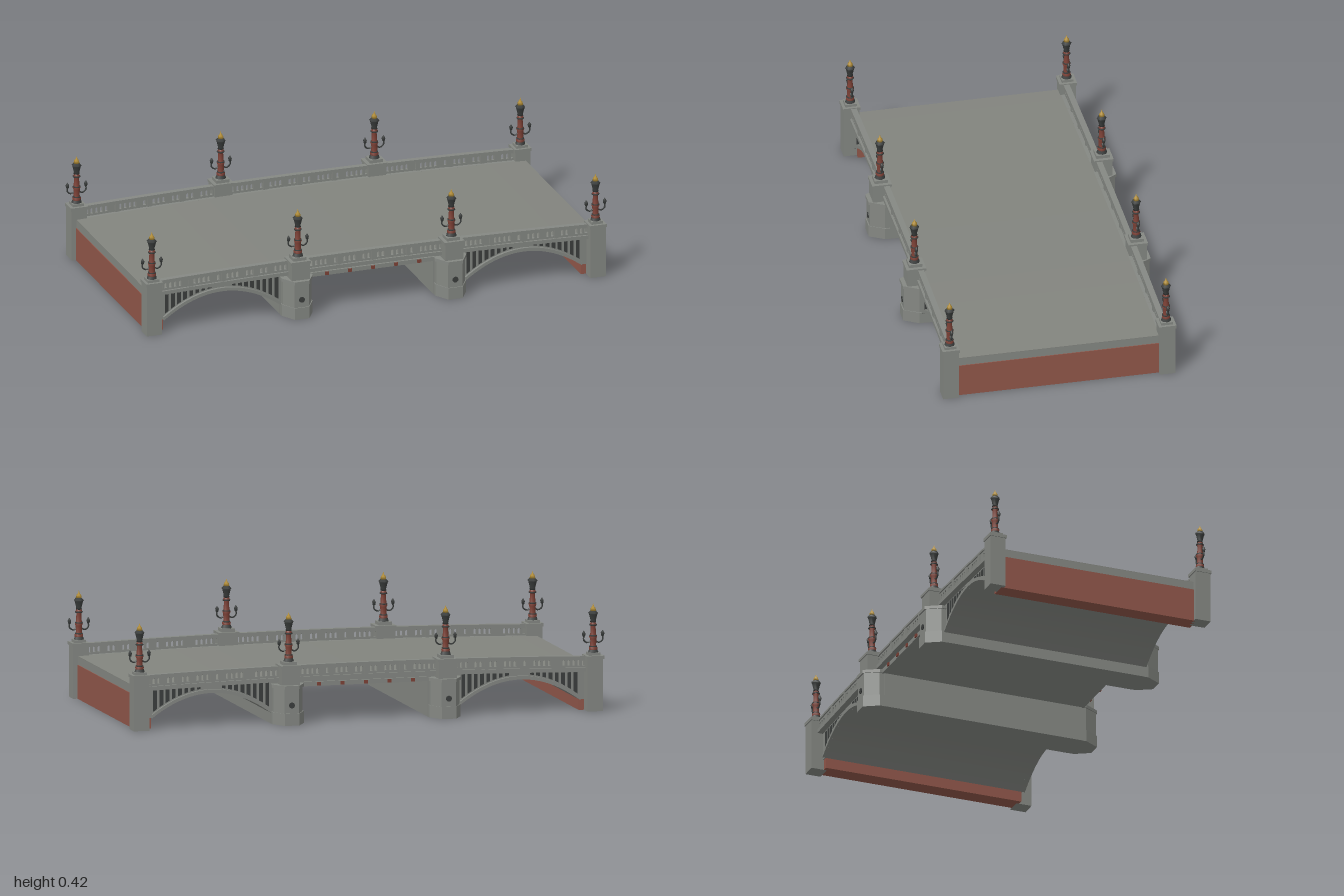
import * as THREE from 'three';

const mat = (name, color, side = THREE.FrontSide) => {
  const m = new THREE.MeshStandardMaterial({ color, side });
  m.name = name;
  return m;
};

export function createModel() {
  const stone = mat('grey stone', 0x858883);
  const road = mat('road grey', 0x82847e);
  const brick = mat('red brick', 0x91574a);
  const redPaint = mat('dark red paint', 0x7d4136);
  const iron = mat('dark iron', 0x3b3e3d);
  const gold = mat('gold', 0xb48f35);

  const bridge = new THREE.Group();
  bridge.name = 'bridge';

  const add = (parent, name, geo, material, x = 0, y = 0, z = 0) => {
    const m = new THREE.Mesh(geo, material);
    m.name = name;
    m.position.set(x, y, z);
    parent.add(m);
    return m;
  };
  const box = (parent, name, material, w, h, d, x, y, z) =>
    add(parent, name, new THREE.BoxGeometry(w, h, d), material, x, y, z);
  const shapeOf = pts => new THREE.Shape(pts.map(p => new THREE.Vector2(p[0], p[1])));
  // Side profile extruded across the bridge, centred on z
  const extrude = (shape, depth) =>
    new THREE.ExtrudeGeometry(shape, { depth, bevelEnabled: false }).translate(0, 0, -depth / 2);
  const range = (n, a, b) => Array.from({ length: n + 1 }, (_, i) => a + (b - a) * i / n);

  // Main curves: cambered deck and segmental side arches
  const END = 0.878, deckY = u => 0.158 + 0.016 * (1 - (u / END) ** 2);
  const ARCH = 0.589, HALF = 0.228, SPRING = 0.04;
  const archY = u => SPRING + 0.085 * (1 - ((Math.abs(u) - ARCH) / HALF) ** 2);
  const band = (a, b, lo, hi, n = 24) => shapeOf([
    ...range(n, a, b).map(u => [u, lo(u)]),
    ...range(n, b, a).map(u => [u, hi(u)])]);

  // Deck body with both barrel vaults and the flat middle span
  const arch = s => range(20, s * ARCH - HALF, s * ARCH + HALF).map(u => [u, archY(u)]);
  const body = shapeOf([
    [-END, SPRING], ...arch(-1), [-0.24, SPRING], [-0.24, 0.134], [0.24, 0.134], [0.24, SPRING],
    ...arch(1), [END, SPRING], ...range(24, END, -END).map(u => [u, deckY(u) - 0.002])]);
  add(bridge, 'deckBody', extrude(body, 0.784), stone);
  add(bridge, 'roadway', extrude(band(-END, END, u => deckY(u) - 0.002, deckY), 0.784), road);

  // Brick abutments
  for (const s of [-1, 1]) {
    box(bridge, 'abutmentFoot', brick, 0.062, SPRING, 0.776, s * 0.848, SPRING / 2, 0);
    box(bridge, 'abutmentWall', brick, 0.006, 0.126, 0.776, s * 0.878, 0.063, 0);
  }

  // Lamp with a turned column, two side arms and a lantern
  const lathe = (pts, seg = 10) => new THREE.LatheGeometry(pts.map(p => new THREE.Vector2(p[0], p[1])), seg);
  const lampParts = {
    foot: new THREE.CylinderGeometry(0.016, 0.021, 0.014, 8),
    column: lathe([[0.015, 0.012], [0.016, 0.022], [0.011, 0.028], [0.012, 0.055], [0.015, 0.062],
      [0.011, 0.07], [0.009, 0.1], [0.013, 0.108], [0.009, 0.115]]),
    ring: new THREE.TorusGeometry(0.012, 0.003, 5, 12).rotateX(Math.PI / 2),
    arm: new THREE.TubeGeometry(new THREE.CatmullRomCurve3([
      new THREE.Vector3(0.006, 0.048, 0), new THREE.Vector3(0.022, 0.04, 0),
      new THREE.Vector3(0.036, 0.05, 0), new THREE.Vector3(0.036, 0.064, 0)]), 10, 0.003, 5),
    sideLamp: lathe([[0, 0.06], [0.005, 0.064], [0.007, 0.074], [0.004, 0.08], [0, 0.086]], 6),
    lantern: lathe([[0, 0.112], [0.012, 0.116], [0.01, 0.122], [0.016, 0.146], [0.019, 0.15],
      [0.012, 0.158], [0, 0.16]], 6),
    finial: lathe([[0, 0.157], [0.011, 0.158], [0.009, 0.168], [0.003, 0.176], [0, 0.186]], 6)
  };
  const lamp = (x, y, z) => {
    const g = new THREE.Group();
    g.name = 'streetLamp';
    g.position.set(x, y, z);
    add(g, 'lampFoot', lampParts.foot, iron, 0, 0.007, 0);
    add(g, 'lampColumn', lampParts.column, redPaint);
    for (const h of [0.026, 0.066, 0.106]) add(g, 'lampRing', lampParts.ring, iron, 0, h, 0);
    for (const s of [0, Math.PI]) {
      add(g, 'lampArm', lampParts.arm, iron).rotation.y = s;
      add(g, 'sideLamp', lampParts.sideLamp, iron, Math.cos(s) * 0.036, 0, 0);
    }
    add(g, 'lantern', lampParts.lantern, iron);
    add(g, 'lampFinial', lampParts.finial, gold);
    bridge.add(g);
  };

  // Pierced parapet following the camber
  const parapet = (a, b) => {
    const base = u => deckY(u) - 0.004, top = u => deckY(u) + 0.038;
    const shape = band(a, b, base, top, 12);
    const bays = Math.round((b - a) / 0.0185), step = (b - a) / bays;
    for (let i = 0; i < bays; i++) {
      if (i % 6 === 5) continue;
      const l = a + step * (i + 0.22), r = a + step * (i + 0.78), m = (l + r) / 2;
      shape.holes.push(new THREE.Path([
        [l, base(l) + 0.012], [l, top(l) - 0.013], [m, top(m) - 0.009], [r, top(r) - 0.013], [r, base(r) + 0.012]
      ].map(p => new THREE.Vector2(p[0], p[1]))));
    }
    return extrude(shape, 0.012);
  };
  const spans = [[-0.84, -0.335], [-0.27, 0.27], [0.335, 0.84]];

  for (const z of [-1, 1]) {
    for (const [a, b] of spans) {
      add(bridge, 'parapet', parapet(a, b), stone, 0, 0, z * 0.4);
      add(bridge, 'handrail', extrude(band(a, b, u => deckY(u) + 0.035, u => deckY(u) + 0.043), 0.022),
        stone, 0, 0, z * 0.4);
      add(bridge, 'cornice', extrude(band(a, b, u => deckY(u) - 0.014, u => deckY(u)), 0.034),
        stone, 0, 0, z * 0.397);
      // Thicker posts between the parapet panels
      for (const u of range(4, a, b).slice(1, -1))
        box(bridge, 'parapetPost', stone, 0.016, 0.042, 0.02, u, deckY(u) + 0.018, z * 0.4);
    }
    // Raised arch rings and dark spandrel openings
    for (const s of [-1, 1]) {
      const c = s * ARCH;
      add(bridge, 'archRing', extrude(band(c - HALF, c + HALF, archY, u => archY(u) + 0.013), 0.02),
        stone, 0, 0, z * 0.392);
      for (const t of range(18, -0.94, 0.94)) {
        const w = 0.007, l = c + t * HALF - w, r = c + t * HALF + w;
        const lo = u => archY(u) + 0.018, hi = u => deckY(u) - 0.019;
        if (Math.min(hi(l) - lo(l), hi(r) - lo(r)) < 0.006) continue;
        add(bridge, 'spandrelOpening', extrude(band(l, r, lo, hi, 1), 0.004), iron, 0, 0, z * 0.392);
      }
    }
    // Middle beam with small red blocks
    box(bridge, 'middleBeam', stone, 0.49, 0.016, 0.02, 0, 0.142, z * 0.39);
    for (const u of range(4, -0.18, 0.18))
      box(bridge, 'beamBlock', redPaint, 0.014, 0.012, 0.006, u, 0.142, z * 0.402);

    // Corner pillars
    for (const s of [-1, 1]) {
      const x = s * 0.867, zz = z * 0.407;
      box(bridge, 'cornerPillar', stone, 0.06, 0.2, 0.06, x, 0.1, zz);
      box(bridge, 'cornerPillarCap', stone, 0.066, 0.012, 0.066, x, 0.2, zz);
      box(bridge, 'cornerPlinth', stone, 0.044, 0.01, 0.044, x, 0.211, zz);
      lamp(x, 0.212, zz);
    }
  }

  // Piers with angular noses, portholes and lamp pedestals
  const nose = grow => {
    const w = 0.06 + grow, d = 0.465 + grow;
    const g = new THREE.ExtrudeGeometry(
      shapeOf([[-w, 0.37], [w, 0.37], [w, 0.41], [0.028, d], [-0.028, d], [-w, 0.41]]),
      { depth: 1, bevelEnabled: false });
    return g.rotateX(-Math.PI / 2);
  };
  for (const s of [-1, 1]) {
    box(bridge, 'pierWall', stone, 0.122, 0.134, 0.78, s * 0.3, 0.067, 0);
    for (const z of [-1, 1]) {
      const pier = new THREE.Group();
      pier.name = 'pierNose';
      pier.position.x = s * 0.3;
      pier.rotation.y = z > 0 ? 0 : Math.PI;
      bridge.add(pier);
      const flip = new THREE.Group();
      flip.name = 'noseShaft';
      flip.rotation.y = Math.PI;
      pier.add(flip);
      add(flip, 'noseBody', nose(-0.004), stone).scale.y = 0.142;
      add(flip, 'noseBase', nose(0), stone).scale.y = 0.045;
      add(flip, 'noseCap', nose(0.001), stone, 0, 0.136, 0).scale.y = 0.012;
      const hole = new THREE.CylinderGeometry(0.011, 0.011, 0.006, 16).rotateX(Math.PI / 2);
      add(pier, 'porthole', hole, iron, 0, 0.075, 0.461);
      box(pier, 'pedestal', stone, 0.07, 0.076, 0.066, 0, 0.18, 0.417);
      box(pier, 'pedestalCap', stone, 0.078, 0.01, 0.074, 0, 0.216, 0.417);
      box(pier, 'pedestalPlinth', stone, 0.05, 0.014, 0.05, 0, 0.226, 0.417);
      lamp(s * 0.3, 0.231, z * 0.417);
    }
  }

  // The bridge stands diagonally
  bridge.rotation.y = 0.365;
  const model = new THREE.Group();
  model.name = 'lampBridge';
  model.add(bridge);
  return model;
}
